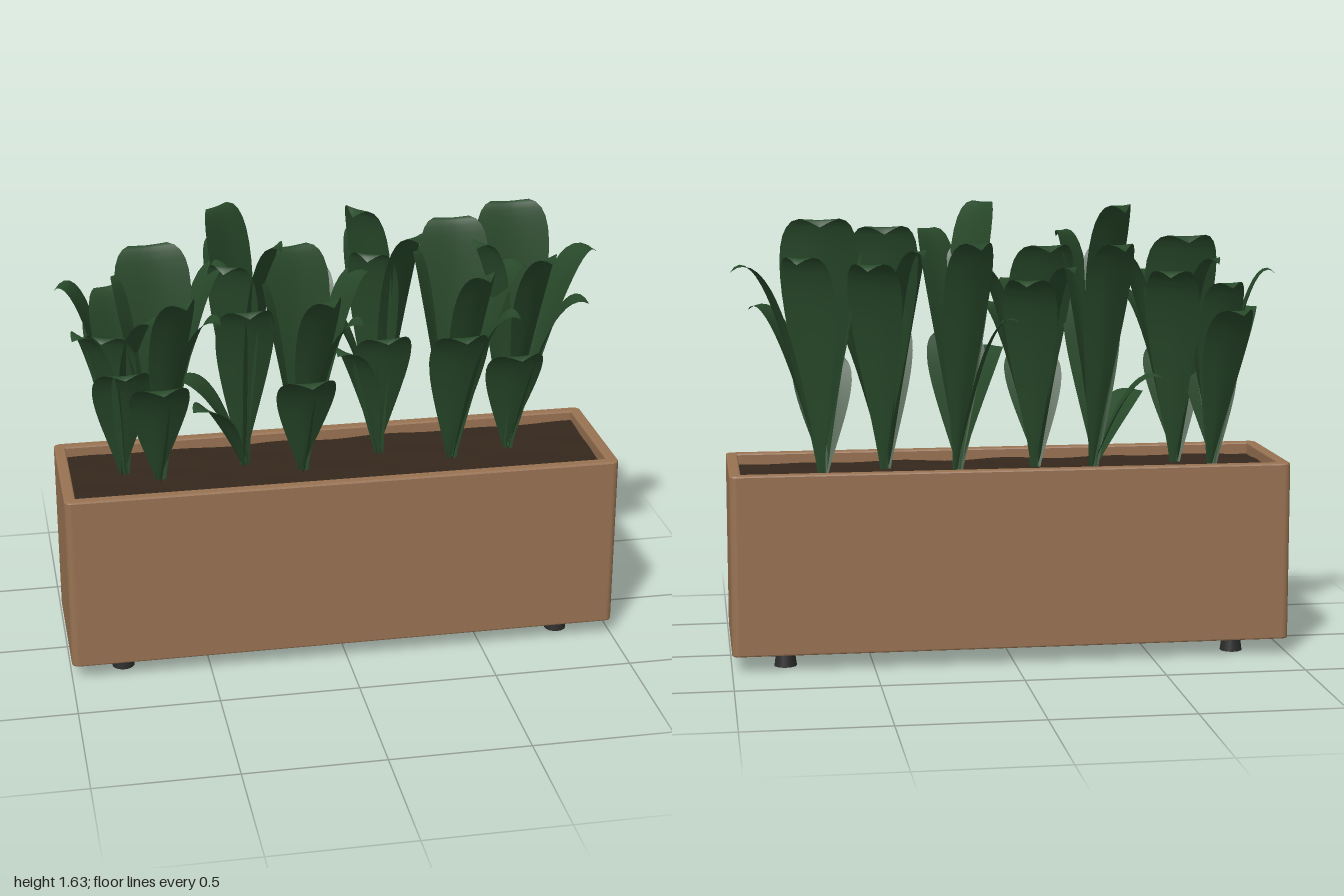
import * as THREE from 'three';

const SOIL_Y = 0.66;
const mat = (color, side = THREE.FrontSide) => new THREE.MeshStandardMaterial({ color, side });

// Rounded rectangle outline, centred on the origin
function roundedRect(w, d, r) {
  const s = new THREE.Shape(), x = w / 2, y = d / 2;
  s.moveTo(-x + r, -y);
  s.lineTo(x - r, -y).absarc(x - r, -y + r, r, -Math.PI / 2, 0);
  s.lineTo(x, y - r).absarc(x - r, y - r, r, 0, Math.PI / 2);
  s.lineTo(-x + r, y).absarc(-x + r, y - r, r, Math.PI / 2, Math.PI);
  s.lineTo(-x, -y + r).absarc(-x + r, -y + r, r, Math.PI, Math.PI * 1.5);
  return s;
}

// One arching, slightly channelled leaf swept along a curve from base to tip
function leafGeometry(base, tip, width) {
  const h = tip.y - base.y;
  const out = new THREE.Vector3(tip.x - base.x, 0, tip.z - base.z);
  const at = (o, y) => base.clone().addScaledVector(out, o).add(new THREE.Vector3(0, y * h, 0));
  const spine = new THREE.CubicBezierCurve3(base, at(0.27, 0.45), at(0.6, 1.18), tip);
  const across = new THREE.Vector3(out.z, 0, -out.x).normalize();
  const rows = 18, cols = 6, pos = [], index = [];
  for (let i = 0; i <= rows; i++) {
    const t = i / rows, p = spine.getPoint(t);
    const normal = new THREE.Vector3().crossVectors(across, spine.getTangent(t)).normalize();
    // Narrow stalk, widest past the middle, rounded tip
    const half = 0.005 * (1 - t) + width / 2 * Math.pow(Math.max(0, Math.sin(Math.PI * Math.pow(t, 1.4))), 0.85);
    for (let j = 0; j <= cols; j++) {
      const u = j / cols * 2 - 1;
      const v = p.clone().addScaledVector(across, u * half)
        .addScaledVector(normal, -half * 0.2 * (1 - 0.8 * t) * Math.pow(Math.abs(u), 1.3));
      pos.push(v.x, v.y, v.z);
      if (i < rows && j < cols) {
        const a = i * (cols + 1) + j, b = a + cols + 1;
        index.push(a, a + 1, b, b, a + 1, b + 1);
      }
    }
  }
  const g = new THREE.BufferGeometry();
  g.setAttribute('position', new THREE.Float32BufferAttribute(pos, 3));
  g.setIndex(index);
  g.computeVertexNormals();
  return g;
}

// A plant: tall leaf, long side leaf, low front leaf, and fillers placed relative to them
function createPlant({ x, z, tall, lean, tallZ, broad, side, sideTall, low }, material) {
  const group = new THREE.Group();
  group.name = 'plant';
  const leaves = [
    ['tallLeaf', lean, tallZ, tall, broad],
    ['sideLeaf', side, z - 0.04, sideTall, 0.17],
    ['lowerSideLeaf', side * 0.8, z + 0.11, sideTall * 0.8, 0.17],
    ['oppositeLeaf', side * -0.5, z * -1.5, tall * 0.9, 0.17],
    ['lowFrontLeaf', 0, z * 1.5 + 0.18, low, 0.21],
    ['middleLeaf', side * 0.35, z + 0.14, tall * 0.84, 0.18],
    ['backLeaf', side * 0.3, -0.23, tall * 0.86, 0.19],
  ];
  leaves.forEach(([name, dx, tipZ, height, width], i) => {
    const a = i / leaves.length * Math.PI * 2;
    const base = new THREE.Vector3(x + 0.012 * Math.cos(a), SOIL_Y - 0.01, z + 0.012 * Math.sin(a));
    const tip = new THREE.Vector3(x + dx, SOIL_Y + height, tipZ);
    const leaf = new THREE.Mesh(leafGeometry(base, tip, width), material);
    leaf.name = name;
    group.add(leaf);
  });
  return group;
}

// Base position, leaf heights above the soil, and reach of each plant
const plants = [
  { x: -0.76, z: -0.04, tall: 0.66, lean: -0.04, tallZ: -0.17, broad: 0.18, side: -0.22, sideTall: 0.70, low: 0.42 },
  { x: -0.64, z: 0.04, tall: 0.82, lean: -0.01, tallZ: -0.11, broad: 0.27, side: 0.27, sideTall: 0.77, low: 0.40 },
  { x: -0.32, z: -0.04, tall: 0.93, lean: -0.09, tallZ: -0.15, broad: 0.22, side: -0.25, sideTall: 0.33, low: 0.62 },
  { x: -0.12, z: 0.04, tall: 0.79, lean: -0.03, tallZ: -0.1, broad: 0.25, side: 0.25, sideTall: 0.72, low: 0.39 },
  { x: 0.18, z: -0.06, tall: 0.94, lean: -0.12, tallZ: 0.03, broad: 0.2, side: -0.22, sideTall: 0.54, low: 0.48 },
  { x: 0.43, z: 0.04, tall: 0.86, lean: 0.01, tallZ: -0.1, broad: 0.25, side: 0.27, sideTall: 0.71, low: 0.52 },
  { x: 0.66, z: -0.03, tall: 0.89, lean: 0.01, tallZ: -0.16, broad: 0.27, side: 0.32, sideTall: 0.73, low: 0.40 },
];

export function createModel() {
  const model = new THREE.Group();
  const add = (name, geometry, material, x, y, z) => {
    const m = new THREE.Mesh(geometry, material);
    m.name = name;
    m.position.set(x, y, z);
    model.add(m);
  };

  // Trough walls: a hollow rounded box with a fine bevel
  const bevel = 0.006;
  const wall = roundedRect(2 - 2 * bevel, 0.54 - 2 * bevel, 0.02);
  wall.holes.push(roundedRect(1.93, 0.47, 0.004));
  const walls = new THREE.ExtrudeGeometry(wall, {
    depth: 0.643 - 2 * bevel, bevelThickness: bevel, bevelSize: bevel, bevelSegments: 2, curveSegments: 6,
  });
  walls.rotateX(-Math.PI / 2);
  add('planterWalls', walls, mat(0x997353), 0, 0.057 + bevel, 0);

  // Dark base panel
  add('basePanel', new THREE.BoxGeometry(1.96, 0.02, 0.5), mat(0x24211c), 0, 0.07, 0);

  // Gently uneven soil
  const soil = new THREE.PlaneGeometry(1.94, 0.48, 60, 16).rotateX(-Math.PI / 2);
  const p = soil.attributes.position;
  for (let i = 0; i < p.count; i++) {
    const x = p.getX(i), z = p.getZ(i);
    p.setY(i, 0.003 * Math.sin(17 * x + 9 * z) + 0.002 * Math.sin(31 * z - 12 * x));
  }
  soil.computeVertexNormals();
  add('soil', soil, mat(0x35281d), 0, SOIL_Y, 0);

  // Four tapered feet
  const footGeometry = new THREE.CylinderGeometry(0.031, 0.04, 0.065, 20);
  const footMaterial = mat(0x2b2b2b);
  for (const x of [-0.81, 0.81])
    for (const z of [-0.17, 0.17]) add('foot', footGeometry, footMaterial, x, 0.0325, z);

  // Leafy plants in a staggered row
  const leafMaterial = mat(0x294a2b, THREE.DoubleSide);
  for (const plant of plants) model.add(createPlant(plant, leafMaterial));
  return model;
}
